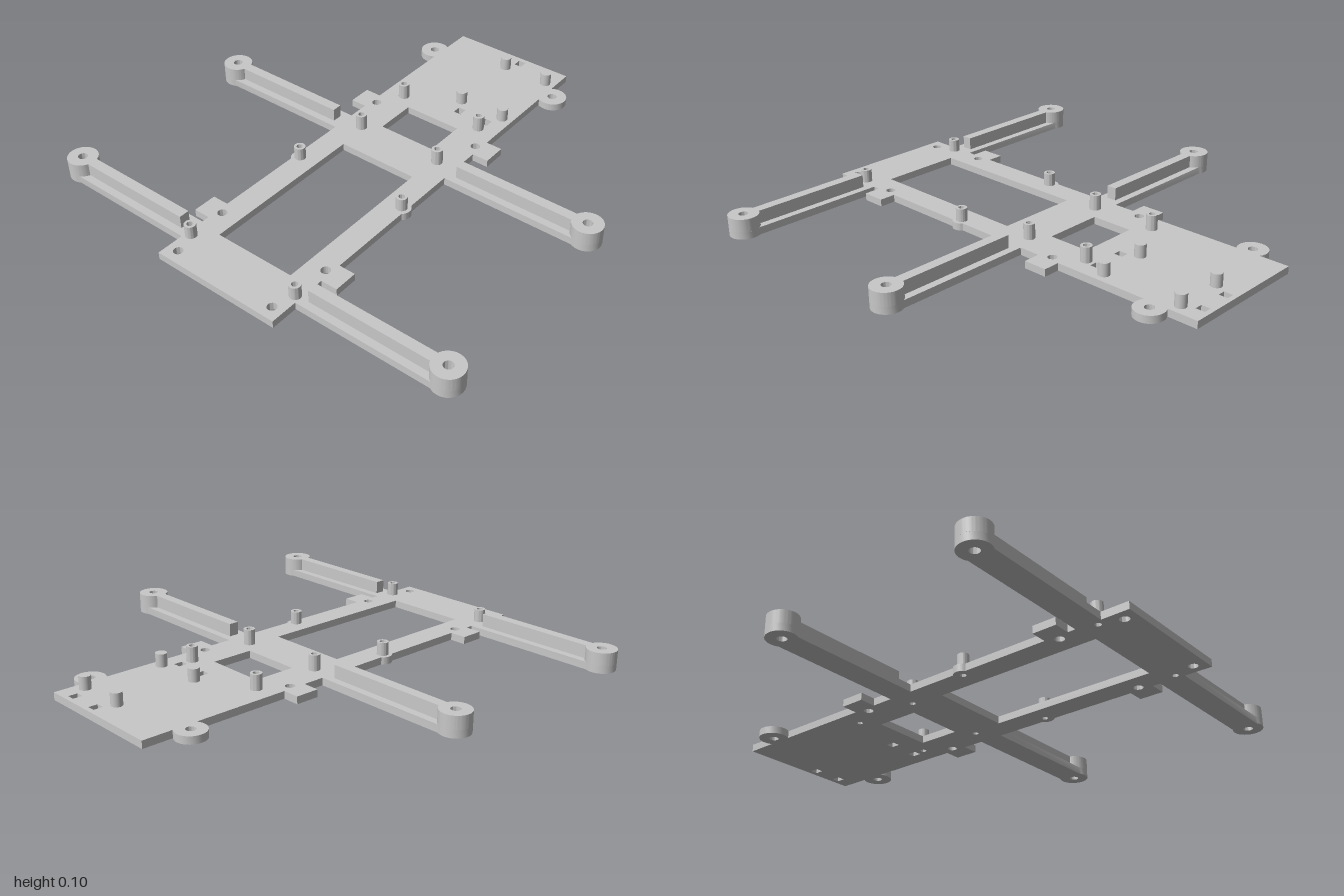
import * as THREE from 'three';
import { toCreasedNormals } from 'three/addons/utils/BufferGeometryUtils.js';

const PLATE = 0.032, TOP = 0.088, EDGE = 0.291, HOLE = 0.02, BORE = 0.013;
const ARM_X = [-0.826, 0.087], ARM_Z = 0.922, ARM_HALF = 0.055, BOSS = 0.064;
const BUMP_X = -0.224, BUMP_Z = 0.267;   // small bump that carries a standoff
const LOBE_X = 0.815, LOBE_Z = 0.326;    // round mounting ear

const disc = (x, z, r) => new THREE.Path().absarc(x, z, r, 0, Math.PI * 2, true);
const rect = (x, z, hx, hz) => new THREE.Path([
  [-1, -1], [-1, 1], [1, 1], [1, -1]].map(([a, b]) => new THREE.Vector2(x + a * hx, z + b * hz)));

// Extrudes a counter-clockwise plan shape (x, z) upwards from y0 to y1
function slab(shape, y0, y1) {
  const geo = new THREE.ExtrudeGeometry(shape, { depth: y1 - y0, bevelEnabled: false, curveSegments: 32 });
  geo.rotateX(Math.PI / 2).translate(0, y1, 0);
  return toCreasedNormals(geo, 0.6);
}

// One long edge of the plate, from x = -1 to x = 1
function edgePoints() {
  const pts = [[-1, EDGE]];
  const arc = (x, z, r, a) => {
    for (let i = 0; i <= 24; i++) {
      const t = Math.PI - a + (2 * a - Math.PI) * i / 24;
      pts.push([x + r * Math.cos(t), z + r * Math.sin(t)]);
    }
  };
  const arm = (x) => {
    pts.push([x - ARM_HALF, EDGE]);
    arc(x, ARM_Z, BOSS, -Math.acos(ARM_HALF / BOSS));
    pts.push([x + ARM_HALF, EDGE]);
  };
  const tab = (x0, x1) => pts.push([x0, EDGE], [x0, 0.364], [x1, 0.364], [x1, EDGE]);
  const lobe = (x, z, r) => arc(x, z, r, Math.asin((EDGE - z) / r));
  arm(ARM_X[0]);
  tab(-0.738, -0.634);
  lobe(BUMP_X, BUMP_Z, 0.04);
  arm(ARM_X[1]);
  tab(0.237, 0.342);
  lobe(LOBE_X, LOBE_Z, BOSS);
  pts.push([1, EDGE]);
  return pts;
}

export function createModel() {
  const model = new THREE.Group();
  const grey = new THREE.MeshStandardMaterial({ color: 0xc8c8c8 });
  grey.name = 'plainGrey';
  const add = (name, geo) => {
    const mesh = new THREE.Mesh(geo, grey);
    mesh.name = name;
    model.add(mesh);
    return mesh;
  };

  // Hollow standoffs: x, z, top height
  const standoffs = [[-0.853, 0.267, TOP], [BUMP_X, BUMP_Z, TOP], [0.103, 0.202, 0.099], [0.407, 0.202, 0.099]];

  // Base plate with arms, tabs and ears in one outline
  const half = edgePoints();
  const outline = [...half.map(([x, z]) => [x, -z]), ...half.reverse()];
  const plate = new THREE.Shape(outline.map(([x, z]) => new THREE.Vector2(x, z)));
  plate.holes.push(rect(-0.414, 0, 0.372, 0.183), rect(0.254, 0, 0.094, 0.132));
  for (const s of [-1, 1]) {
    const screwHoles = [[-0.947, 0.24], [-0.685, 0.267], [0.291, 0.267], [LOBE_X, LOBE_Z],
      ...ARM_X.map((x) => [x, ARM_Z])];
    for (const [x, z] of screwHoles) plate.holes.push(disc(x, s * z, HOLE));
    for (const [x, z] of standoffs) plate.holes.push(disc(x, s * z, BORE));
  }
  for (const x of [0.465, 0.959])
    for (const z of [0.064, 0.204]) plate.holes.push(rect(x, z, 0.02, 0.017));
  add('basePlate', slab(plate, 0, PLATE));

  const tube = (name, x, z, r, bore, top) => {
    const ring = new THREE.Shape().absarc(x, z, r, 0, Math.PI * 2, false);
    ring.holes.push(disc(x, z, bore));
    add(name, slab(ring, PLATE, top));
  };
  for (const s of [-1, 1]) {
    for (const [x, z, top] of standoffs) tube('standoff', x, s * z, 0.024, BORE, top);
    // Arm end bosses and stiffening ridges
    for (const x of ARM_X) {
      tube('armBoss', x, s * ARM_Z, BOSS, HOLE, TOP);
      const z0 = 0.326, z1 = 0.88;
      add('armRidge', new THREE.BoxGeometry(0.045, TOP - PLATE, z1 - z0))
        .position.set(x, (TOP + PLATE) / 2, s * (z0 + z1) / 2);
    }
  }

  // Solid locating posts
  for (const x of [0.532, 0.89])
    for (const z of [0.027, 0.243])
      add('post', new THREE.CylinderGeometry(0.024, 0.024, TOP - PLATE, 32))
        .position.set(x, (TOP + PLATE) / 2, z);

  return model;
}
